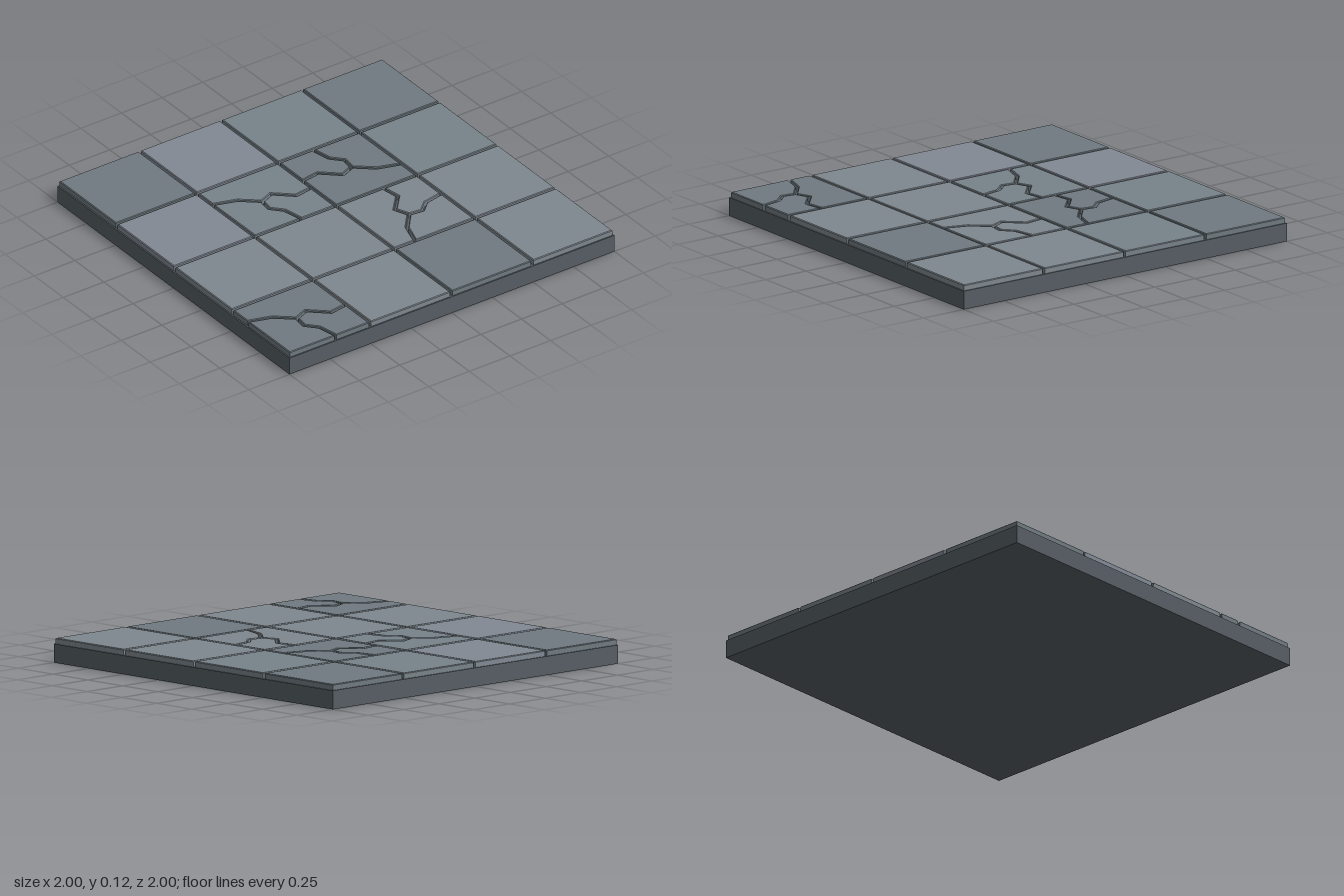
import * as THREE from 'three';

const HALF = 0.25;      // half of one grid cell
const INSET = 0.007;    // half of the groove width
const BEVEL = 0.004;
const BASE_TOP = 0.095;
const TOP = 0.125;

const mat = (color) => new THREE.MeshStandardMaterial({ color, flatShading: true });

// Slab with chamfered edges from an outline of [x, z] points, shrunk to leave a groove
function slab(points, name, color) {
  const shape = new THREE.Shape(points.map(([x, z]) => new THREE.Vector2(x, -z)));
  const depth = 0.04;
  const geo = new THREE.ExtrudeGeometry(shape, {
    depth, bevelEnabled: true, bevelSegments: 1,
    bevelSize: BEVEL, bevelThickness: BEVEL, bevelOffset: -INSET - BEVEL,
  });
  geo.rotateX(-Math.PI / 2);
  geo.translate(0, TOP - depth - BEVEL, 0);
  const mesh = new THREE.Mesh(geo, mat(color));
  mesh.name = name;
  return mesh;
}

// Three crack arms running from the tile edge to a shared junction
const junction = [0.002, 0.027];
const armBack = [[0.039, -HALF], [0.055, -0.145], [-0.03, -0.05]];
const armRight = [[HALF, -0.038], [0.136, -0.016], [0.077, 0.037]];
const armFront = [[-0.118, HALF], [-0.079, 0.123]];
const reversed = (arm) => [...arm].reverse();

const wholeTile = [[-HALF, -HALF], [HALF, -HALF], [HALF, HALF], [-HALF, HALF]];
const brokenTile = [
  [...armBack, junction, ...reversed(armRight), [HALF, -HALF]],
  [...armRight, junction, ...reversed(armFront), [HALF, HALF]],
  [...armBack, junction, ...reversed(armFront), [-HALF, HALF], [-HALF, -HALF]],
];

// Stone tones, and their layout from back row to front row
const tones = { D: 0x6f7a80, M: 0x78838a, L: 0x7f888f, P: 0x828994 };
const layout = ['DMLL', 'MDLD', 'PMLL', 'DPLD'];

// Cracked tiles by "row,column", with their turn about y
const cracked = { '1,1': Math.PI, '1,2': Math.PI / 2, '2,1': 0, '3,3': 0 };

export function createModel() {
  const model = new THREE.Group();
  model.name = 'stoneFloor';

  // Base slab
  const base = new THREE.Mesh(new THREE.BoxGeometry(2, BASE_TOP, 2), mat(0x565e64));
  base.name = 'base';
  base.position.y = BASE_TOP / 2;
  model.add(base);

  // Paving tiles
  layout.forEach((line, row) => [...line].forEach((tone, col) => {
    const tile = new THREE.Group();
    const turn = cracked[`${row},${col}`];
    if (turn === undefined) {
      tile.name = 'tile';
      tile.add(slab(wholeTile, 'tileSlab', tones[tone]));
    } else {
      tile.name = 'crackedTile';
      brokenTile.forEach((outline) => tile.add(slab(outline, 'tileFragment', tones[tone])));
      tile.rotation.y = turn;
    }
    tile.position.set(-0.75 + col * 0.5, 0, -0.75 + row * 0.5);
    model.add(tile);
  }));

  return model;
}
